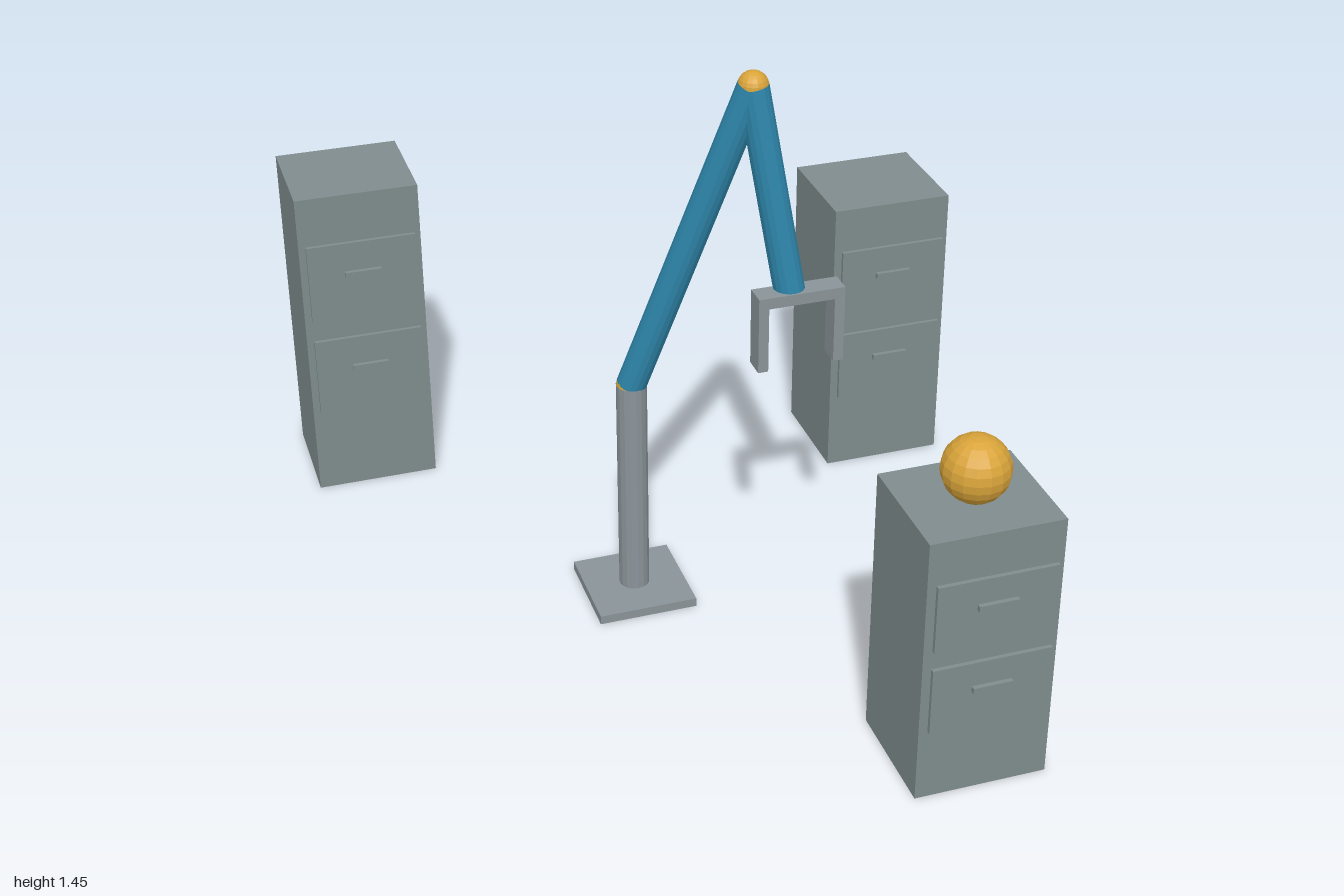
import * as THREE from 'three';

export function createModel() {
  const model = new THREE.Group();
  model.name = 'robotArmWithCabinets';

  const flat = (name, color) => {
    const m = new THREE.MeshStandardMaterial({ color, flatShading: true });
    m.name = name;
    return m;
  };
  const cabinetGrey = flat('cabinetGrey', 0x7f8c8d);
  const steel = flat('steel', 0x8a9499);
  const blue = flat('armBlue', 0x2e86ab);
  const gold = flat('gold', 0xd9a43a);

  const add = (parent, name, geometry, material, x, y, z) => {
    const mesh = new THREE.Mesh(geometry, material);
    mesh.name = name;
    mesh.position.set(x, y, z);
    parent.add(mesh);
    return mesh;
  };
  const box = (parent, name, material, size, pos) =>
    add(parent, name, new THREE.BoxGeometry(...size), material, ...pos);

  // Cylinder running between two points
  const rod = (name, material, a, b, radius) => {
    const dir = b.clone().sub(a);
    const mid = a.clone().add(b).multiplyScalar(0.5);
    const mesh = add(model, name, new THREE.CylinderGeometry(radius, radius, dir.length(), 16),
      material, mid.x, mid.y, mid.z);
    mesh.quaternion.setFromUnitVectors(new THREE.Vector3(0, 1, 0), dir.normalize());
  };

  // Filing cabinets: body, two drawer fronts standing just proud, and pulls
  const cabinet = (name, x, front, height) => {
    const group = new THREE.Group();
    group.name = name;
    group.position.set(x, 0, front);
    model.add(group);
    box(group, 'cabinetBody', cabinetGrey, [0.32, height, 0.291], [0, height / 2, -0.1455]);
    for (const level of [0.405, 0.725]) {
      const y = level * height;
      box(group, 'drawerFront', cabinetGrey, [0.285, height * 0.25, 0.01], [0, y, 0.013]);
      box(group, 'drawerHandle', cabinetGrey, [0.095, 0.015, 0.011], [0, y + 0.024 * height, 0.0235]);
    }
  };
  cabinet('backLeftCabinet', -0.68, -0.709, 0.867);
  cabinet('backRightCabinet', 0.68, -0.394, 0.777);
  cabinet('frontCabinet', 0.362, 0.971, 0.685);

  // Ball resting on the front cabinet
  add(model, 'ball', new THREE.SphereGeometry(0.079, 16, 12), gold, 0.363, 0.764, 0.838);

  // Arm: base plate, post, two links and ball joints
  const foot = new THREE.Vector3(-0.16, 0.022, 0.002);
  const shoulder = new THREE.Vector3(-0.16, 0.602, 0.002);
  const elbow = new THREE.Vector3(0.087, 1.411, 0.158);
  const wrist = new THREE.Vector3(0.166, 0.9, 0.211);
  box(model, 'basePlate', steel, [0.25, 0.023, 0.25], [-0.16, 0.0115, 0.002]);
  rod('post', steel, foot, shoulder, 0.038);
  rod('upperArm', blue, shoulder, elbow, 0.037);
  rod('forearm', blue, elbow, wrist, 0.037);
  for (const [name, p] of [['shoulderJoint', shoulder], ['elbowJoint', elbow]]) {
    add(model, name, new THREE.SphereGeometry(0.037, 16, 12), gold, p.x, p.y, p.z);
  }

  // Gripper: palm bar with two fingers
  const gripper = new THREE.Group();
  gripper.name = 'gripper';
  gripper.position.set(0.182, 0, 0.222);
  model.add(gripper);
  box(gripper, 'palm', steel, [0.212, 0.028, 0.056], [0, 0.905, 0]);
  for (const side of [-1, 1]) {
    box(gripper, 'finger', steel, [0.025, 0.165, 0.056], [side * 0.0935, 0.8085, 0]);
  }

  return model;
}
